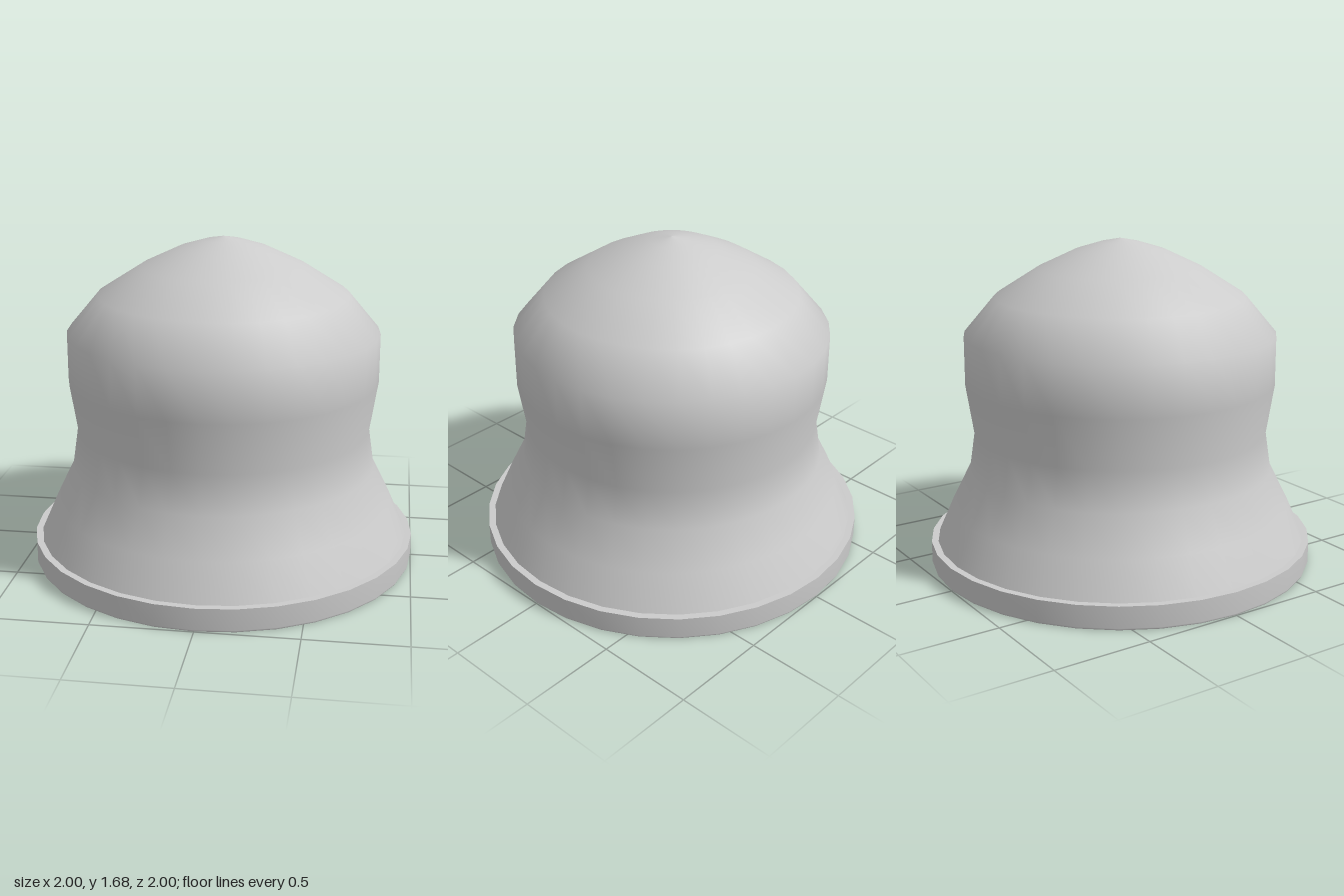
import * as THREE from 'three';

const SIDES = 32;
const grey = new THREE.MeshStandardMaterial({ color: 0xcccccc });

// Revolves a [radius, height] profile; rising profiles face outward, falling ones inward.
function turned(name, profile) {
  const points = profile.map(([r, y]) => new THREE.Vector2(r, y));
  const mesh = new THREE.Mesh(new THREE.LatheGeometry(points, SIDES), grey);
  mesh.name = name;
  return mesh;
}

export function createModel() {
  const model = new THREE.Group();
  model.name = 'bellShapedCap';

  // Flared skirt, narrow waist and domed crown
  model.add(turned('outerShell', [
    [0.965, 0.12], [0.885, 0.3], [0.79, 0.49], [0.76, 0.69], [0.8, 0.95], [0.8, 1.2],
    [0.64, 1.39], [0.42, 1.53], [0.23, 1.62], [0.1, 1.66], [0, 1.68],
  ]));

  // Hollow inside, open at the bottom
  model.add(turned('innerShell', [
    [0, 1.6], [0.2, 1.55], [0.38, 1.46], [0.58, 1.34], [0.73, 1.17], [0.73, 0.95],
    [0.69, 0.69], [0.72, 0.47], [0.81, 0.27], [0.9, 0],
  ]));

  // Base flange: separate faces keep its edges sharp
  const flange = new THREE.Group();
  flange.name = 'baseFlange';
  flange.add(
    turned('flangeUnderside', [[0.9, 0], [0.995, 0]]),
    turned('flangeSide', [[0.995, 0], [1, 0.01], [1, 0.12]]),
    turned('flangeTop', [[1, 0.12], [0.965, 0.12]]),
  );
  model.add(flange);

  return model;
}
